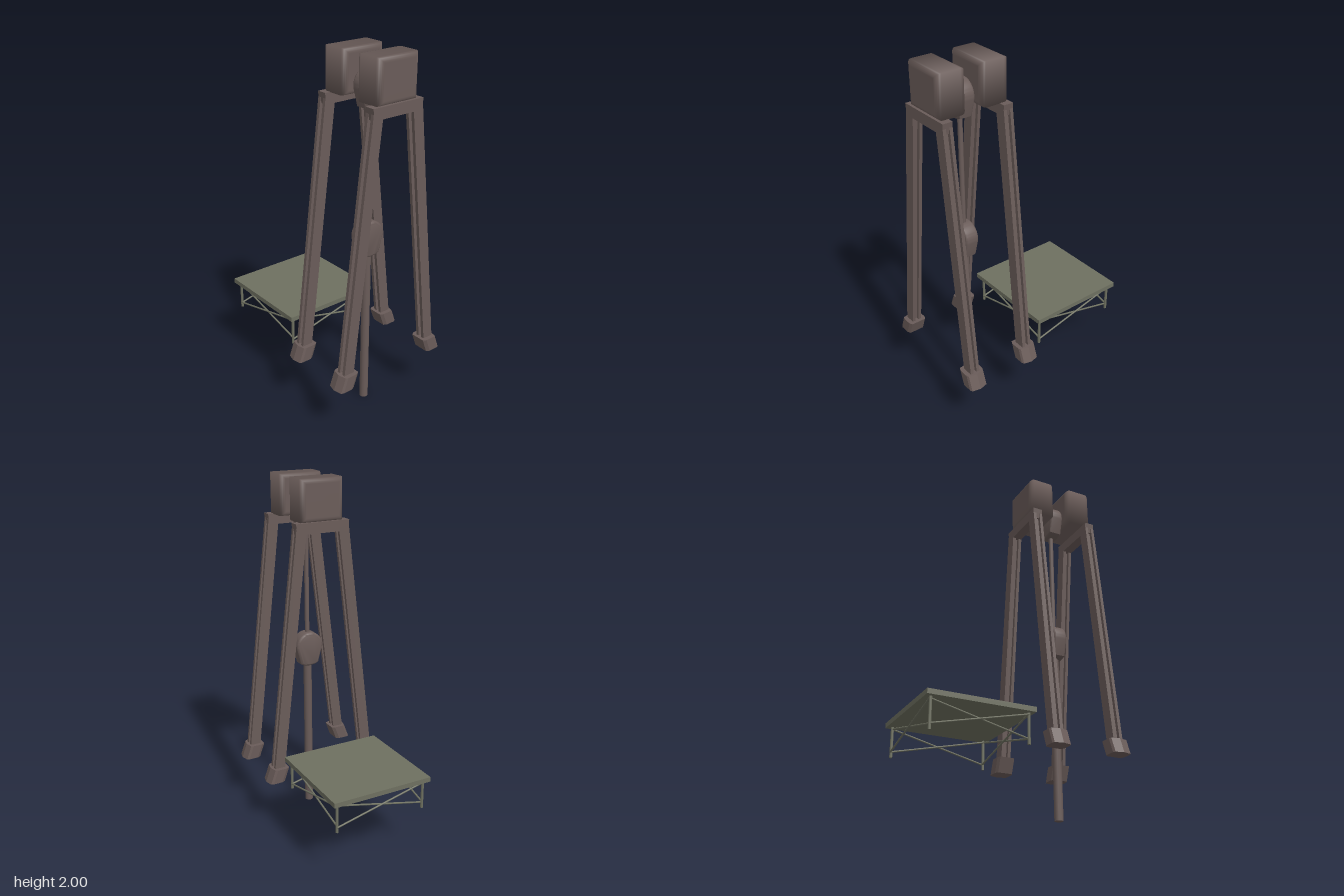
import * as THREE from 'three';
import { toCreasedNormals } from 'three/addons/utils/BufferGeometryUtils.js';

const steel = new THREE.MeshStandardMaterial({ color: 0x6a5c59 });
const olive = new THREE.MeshStandardMaterial({ color: 0x6e7060 });

function add(parent, name, geometry, material, x = 0, y = 0, z = 0) {
  const mesh = new THREE.Mesh(geometry, material);
  mesh.name = name;
  mesh.position.set(x, y, z);
  parent.add(mesh);
  return mesh;
}

const shapeOf = (pts) => new THREE.Shape(pts.map(([x, y]) => new THREE.Vector2(x, y)));

// Bar of the given cross-section running from a to b
function addBar(parent, name, section, a, b, material) {
  const geometry = new THREE.ExtrudeGeometry(section, { depth: a.distanceTo(b), bevelEnabled: false });
  const mesh = new THREE.Mesh(geometry, material);
  mesh.name = name;
  mesh.position.copy(a);
  mesh.lookAt(b);
  parent.add(mesh);
}

// Square block along x with soft rounded ends
function headGeometry(width, height, depth) {
  const k = Math.SQRT2, half = 0.5, h = width / 2, r = 0.028;
  const pts = [new THREE.Vector2(0, -h)];
  for (const end of [-1, 1]) {
    for (let i = 0; i <= 5; i++) {
      const t = (end < 0 ? 1 - i / 5 : i / 5) * Math.PI / 2;
      pts.push(new THREE.Vector2((half - 0.11 * (1 - Math.cos(t))) * k, end * (h - r + r * Math.sin(t))));
    }
  }
  pts.push(new THREE.Vector2(0, h));
  return new THREE.LatheGeometry(pts, 4, Math.PI / 4).rotateZ(Math.PI / 2).scale(1, height, depth);
}

// Egg-shaped pulley with rounded rims, thin along x
function pulleyGeometry() {
  const s = new THREE.Shape();
  s.moveTo(0.055, -0.108);
  s.lineTo(0.08, -0.015);
  s.absarc(0, 0, 0.081, 0, Math.PI, false);
  s.lineTo(-0.08, -0.015);
  s.lineTo(-0.055, -0.108);
  s.quadraticCurveTo(0, -0.135, 0.055, -0.108);
  const g = new THREE.ExtrudeGeometry(s, {
    depth: 0.052, bevelThickness: 0.014, bevelSize: 0.014, bevelOffset: -0.014, bevelSegments: 4, curveSegments: 16,
  });
  return toCreasedNormals(g.translate(0, 0, -0.026).rotateY(Math.PI / 2), 0.7);
}

// Foot block: chevron toe, trimmed heel, leaning inward with height
function footGeometry() {
  const plan = shapeOf([[0, -0.365], [0.046, -0.354], [0.052, -0.34], [0.052, -0.285], [0.042, -0.266],
    [-0.042, -0.266], [-0.052, -0.285], [-0.052, -0.34], [-0.046, -0.354]]);
  const g = new THREE.ExtrudeGeometry(plan, { depth: 0.082, bevelEnabled: false }).rotateX(-Math.PI / 2);
  const p = g.attributes.position;
  for (let i = 0; i < p.count; i++) p.setZ(i, p.getZ(i) - 0.37 * p.getY(i));
  g.computeVertexNormals();
  return g;
}

// Side frame: crossbeam on two splayed, grooved legs with feet
function sideFrame(x) {
  const frame = new THREE.Group();
  frame.name = 'sideFrame';
  frame.position.x = x;
  const w = 0.028, d = 0.031, gx = 0.01, gd = 0.012;
  const hSection = shapeOf([[-w, -d], [-gx, -d], [-gx, -gd], [gx, -gd], [gx, -d], [w, -d],
    [w, d], [gx, d], [gx, gd], [-gx, gd], [-gx, d], [-w, d]]);
  const beam = shapeOf([[-0.153, 1.712], [0.153, 1.712], [0.16, 1.772], [-0.16, 1.772]]);
  add(frame, 'crossbeam', new THREE.ExtrudeGeometry(beam, { depth: 0.056, bevelEnabled: false })
    .translate(0, 0, -0.028).rotateY(Math.PI / 2), steel);
  for (const s of [1, -1]) {
    addBar(frame, 'frameLeg', hSection, new THREE.Vector3(0, 0.35, s * 0.289),
      new THREE.Vector3(0, 1.74, s * 0.127), steel);
    const foot = add(frame, 'foot', footGeometry(), steel, 0, 0.296, 0);
    if (s < 0) foot.rotation.y = Math.PI;
  }
  return frame;
}

// Low table with corner legs and crossed braces on each side
function table() {
  const g = new THREE.Group();
  g.name = 'table';
  g.position.x = -0.257;
  add(g, 'tableTop', new THREE.BoxGeometry(0.585, 0.027, 0.585), olive, 0, 0.4725, 0);
  const r = 0.263;
  const round = new THREE.Shape().absarc(0, 0, 0.005, 0, Math.PI * 2, false);
  for (let i = 0; i < 4; i++) {
    const side = new THREE.Group();
    side.name = 'tableSide';
    add(side, 'tableLeg', new THREE.CylinderGeometry(0.008, 0.008, 0.165, 10), olive, r, 0.3775, r);
    for (const s of [1, -1]) {
      addBar(side, 'brace', round, new THREE.Vector3(-s * r, 0.325, r + s * 0.004),
        new THREE.Vector3(s * r, 0.45, r + s * 0.004), olive);
    }
    side.rotation.y = i * Math.PI / 2;
    g.add(side);
  }
  return g;
}

export function createModel() {
  const model = new THREE.Group();
  model.name = 'pumpingRig';
  const mid = 0.32;

  // Frames with their motor heads
  for (const s of [-1, 1]) {
    model.add(sideFrame(mid + s * 0.177));
    add(model, 'head', headGeometry(0.162, 0.23, 0.252), steel, mid + s * 0.124, 1.885, 0);
  }
  add(model, 'axle', new THREE.CylinderGeometry(0.03, 0.03, 0.12, 16).rotateZ(Math.PI / 2), steel, mid, 1.84, 0);

  // Hanging pulleys, rod and drill pole
  for (const y of [1.822, 1.022]) add(model, 'pulley', pulleyGeometry(), steel, mid, y, 0);
  add(model, 'rod', new THREE.CylinderGeometry(0.013, 0.013, 0.7, 12), steel, mid, 1.4, 0);
  add(model, 'pole', new THREE.CylinderGeometry(0.024, 0.024, 0.95, 12), steel, mid, 0.475, 0);

  model.add(table());
  return model;
}
